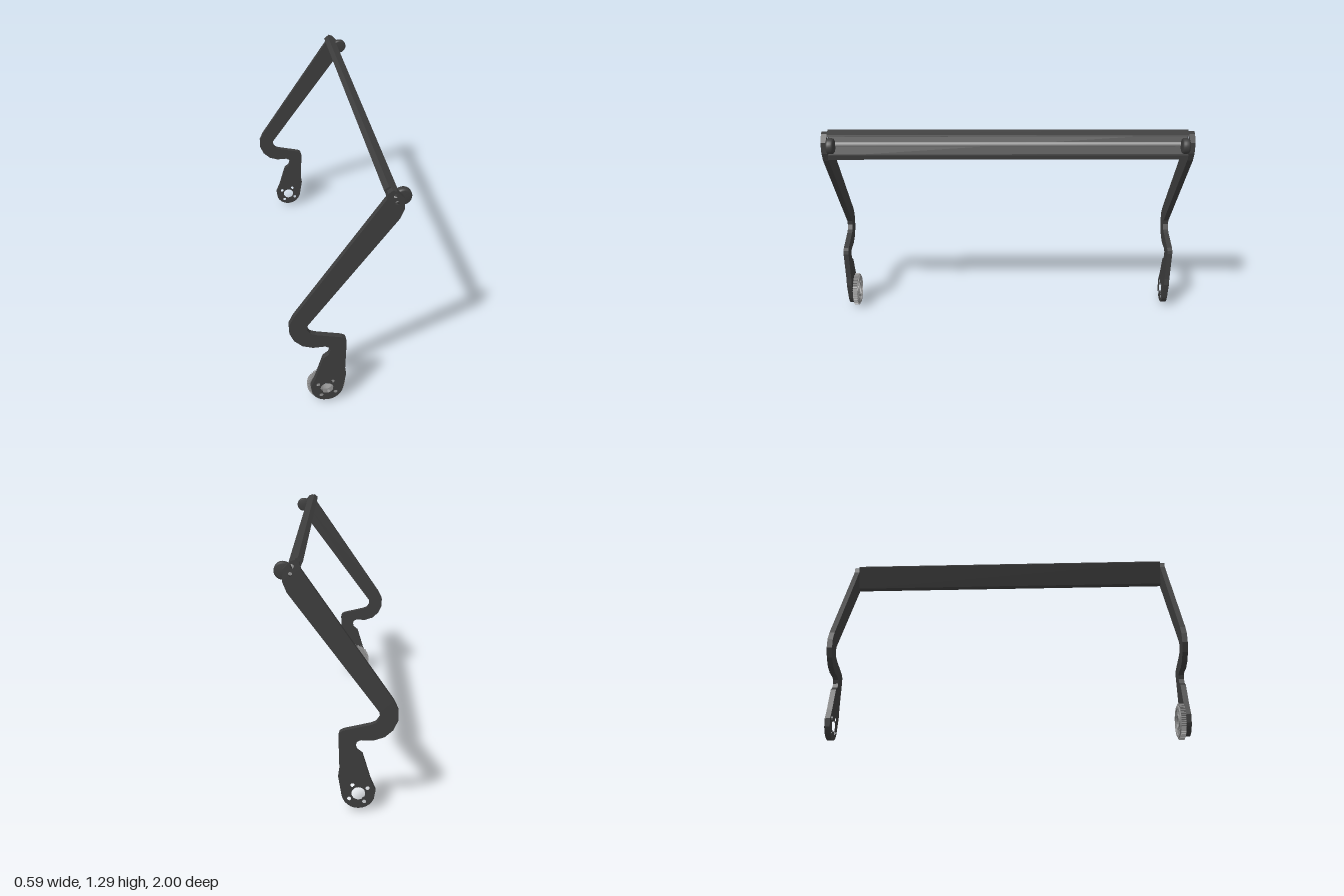
import * as THREE from 'three';

const dark = new THREE.MeshStandardMaterial({ color: 0x3d3d3d });
dark.name = 'blackPlastic';
const steel = new THREE.MeshStandardMaterial({ color: 0x929292 });
steel.name = 'steel';

const PIVOT = [-0.105, 0.1];

function polygon(points) {
  return new THREE.Shape(points.map(([x, y]) => new THREE.Vector2(x, y)));
}

function punch(shape, x, y, r) {
  const hole = new THREE.Path();
  hole.absarc(x, y, r, 0, Math.PI * 2, true);
  shape.holes.push(hole);
}

// Four screw holes around the pivot, turned by a start angle
function punchScrews(shape, cx, cy, start) {
  for (let i = 0; i < 4; i++) {
    const a = start + i * Math.PI / 2;
    punch(shape, cx + 0.054 * Math.cos(a), cy + 0.054 * Math.sin(a), 0.01);
  }
}

function extrude(name, shape, z0, z1, material) {
  const geo = new THREE.ExtrudeGeometry(shape, { depth: z1 - z0, bevelEnabled: false, curveSegments: 12 });
  geo.translate(0, 0, z0);
  const mesh = new THREE.Mesh(geo, material);
  mesh.name = name;
  return mesh;
}

// Cranked arm outline: straight upper bar, elbow, step and round foot
function armShape() {
  const pts = [
    [-0.19, 0.115], [-0.165, 0.175], [-0.125, 0.31], [-0.097, 0.333], [-0.089, 0.36],
    [-0.096, 0.38], [-0.115, 0.39], [-0.178, 0.389], [-0.23, 0.406], [-0.272, 0.444],
    [-0.295, 0.495], [-0.295, 0.548], [-0.272, 0.597], [0.165, 1.24], [0.17, 1.27],
    [0.19, 1.285], [0.212, 1.278], [0.248, 1.24], [0.25, 1.18], [0.23, 1.13],
    [-0.203, 0.538], [-0.207, 0.51], [-0.19, 0.483], [-0.165, 0.472], [-0.03, 0.441],
    [-0.012, 0.43], [-0.006, 0.41], [-0.011, 0.23], [-0.005, 0.19], [-0.022, 0.085],
  ];
  for (let i = 1; i < 12; i++) {
    const a = -0.15 - (i / 12) * (Math.PI - 0.3);
    pts.push([PIVOT[0] + 0.083 * Math.cos(a), PIVOT[1] + 0.082 * Math.sin(a)]);
  }
  const shape = polygon(pts);
  punch(shape, ...PIVOT, 0.034);
  punchScrews(shape, ...PIVOT, 1.0);
  punch(shape, 0.205, 1.255, 0.01);
  punch(shape, 0.214, 1.218, 0.01);
  return shape;
}

// Spur gear disc with a bore and a ring of holes
function makeGear() {
  const gear = new THREE.Group();
  gear.name = 'gear';
  const teeth = 56, pts = [];
  for (let i = 0; i < teeth; i++) {
    [[0, 0.09], [0.25, 0.09], [0.42, 0.1], [0.7, 0.1]].forEach(([f, r]) => {
      const a = ((i + f) / teeth) * Math.PI * 2;
      pts.push([r * Math.cos(a), r * Math.sin(a)]);
    });
  }
  const disc = polygon(pts);
  punch(disc, 0, 0, 0.034);
  punchScrews(disc, 0, 0, 1.0);
  punchScrews(disc, 0, 0, 1.0 + Math.PI / 4);
  gear.add(extrude('gearDisc', disc, 0.944, 0.97, steel));

  // Raised hub and rim on the inner side
  [['gearHub', 0.042, 0.034], ['gearRim', 0.088, 0.073]].forEach(([name, outer, inner]) => {
    const ring = new THREE.Shape();
    ring.absarc(0, 0, outer, 0, Math.PI * 2, false);
    punch(ring, 0, 0, inner);
    gear.add(extrude(name, ring, 0.938, 0.944, steel));
  });
  gear.position.set(PIVOT[0], PIVOT[1], 0);
  return gear;
}

// Rounded roller lying along z
function makeRoller(z) {
  const profile = [[0, -0.02], [0.034, -0.02], [0.04, -0.016], [0.043, -0.008],
    [0.043, 0.008], [0.04, 0.016], [0.034, 0.02], [0, 0.02]];
  const geo = new THREE.LatheGeometry(profile.map(([r, y]) => new THREE.Vector2(r, y)), 32);
  geo.rotateX(Math.PI / 2);
  const roller = new THREE.Mesh(geo, dark);
  roller.name = 'roller';
  roller.position.set(0.25, 1.224, z);
  return roller;
}

export function createModel() {
  const model = new THREE.Group();
  model.name = 'pivotingBailFrame';

  // Side arms
  const arm = armShape();
  model.add(extrude('frontArm', arm, 0.97, 1, dark));
  model.add(extrude('rearArm', arm, -1, -0.97, dark));

  // Open channel joining the arms
  const channel = polygon([
    [0.155, 1.272], [0.21, 1.145], [0.222, 1.136], [0.238, 1.14], [0.24, 1.165],
    [0.23, 1.168], [0.224, 1.152], [0.172, 1.266], [0.18, 1.276], [0.212, 1.268],
    [0.222, 1.266], [0.219, 1.274], [0.178, 1.29],
  ]);
  model.add(extrude('crossChannel', channel, -0.97, 0.97, dark));

  // Steel rod inside the channel, seated in the arms
  const rodGeo = new THREE.CylinderGeometry(0.012, 0.012, 1.96, 20);
  rodGeo.rotateX(Math.PI / 2);
  const rod = new THREE.Mesh(rodGeo, steel);
  rod.name = 'rod';
  rod.position.set(0.214, 1.22, 0);
  model.add(rod);

  // Rollers at both ends
  [-1, 1].forEach((side) => model.add(makeRoller(side * 0.948)));

  model.add(makeGear());
  return model;
}
